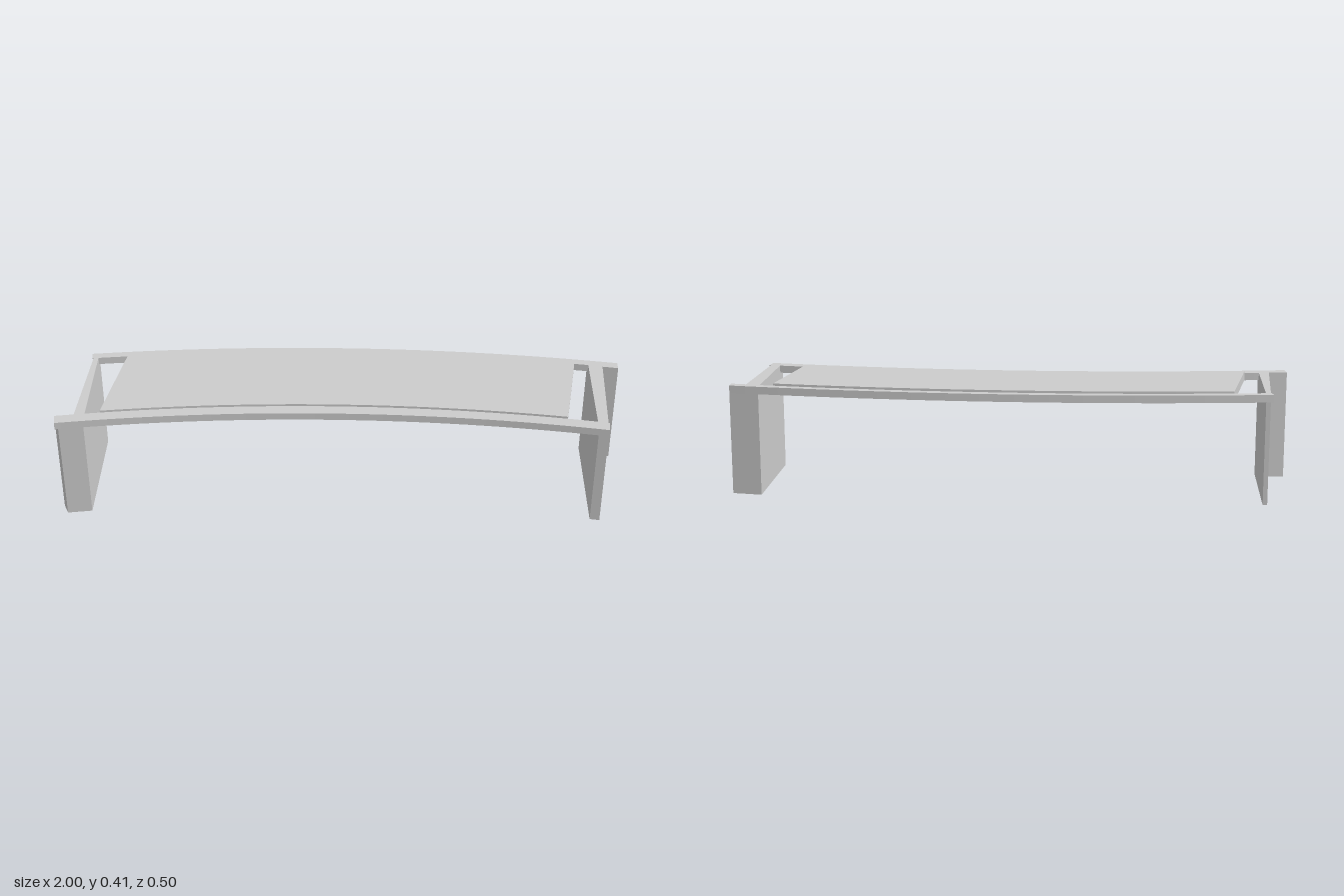
import * as THREE from 'three';

const material = new THREE.MeshStandardMaterial({ color: 0xcccccc });
const STEPS = 32;

// Plan-view arcs (z as a function of x)
const frontOuter = x => 0.17 + 0.085 * (x + 0.035) ** 2;
const frontInner = x => frontOuter(x) - 0.044;
const backOuter = x => -0.25 + 0.0735 * (x + 0.036) ** 2;
const backInner = x => backOuter(x) + 0.03;

// Points along an arc between two x positions
function arc(f, x0, x1) {
  return Array.from({ length: STEPS + 1 }, (_, i) => {
    const x = x0 + (x1 - x0) * i / STEPS;
    return [x, f(x)];
  });
}

// Upright prism from an [x, z] outline
function prism(name, outline, bottom, top) {
  const shape = new THREE.Shape(outline.map(([x, z]) => new THREE.Vector2(x, -z)));
  const geometry = new THREE.ExtrudeGeometry(shape, { depth: top - bottom, bevelEnabled: false });
  geometry.rotateX(-Math.PI / 2);
  geometry.translate(0, bottom, 0);
  const mesh = new THREE.Mesh(geometry, material);
  mesh.name = name;
  return mesh;
}

export function createModel() {
  const group = new THREE.Group();
  group.name = 'curvedBench';

  // Curved rails, with ends cut square to the arc
  group.add(prism('frontRail',
    [...arc(frontOuter, -0.994, 0.928), ...arc(frontInner, 0.934, -1)], 0.37, 0.397));
  group.add(prism('backRail',
    [...arc(backInner, -0.917, 0.997), ...arc(backOuter, 1, -0.922)], 0.37, 0.397));

  // Raised top between the rails, with slanted ends
  group.add(prism('topPanel',
    [...arc(frontInner, -0.843, 0.79), ...arc(backInner, 0.843, -0.787)], 0.37, 0.405));

  // L-shaped legs: one flange turned out at the front, the other at the back
  group.add(prism('rightLeg', [
    [-0.896, -0.193], [-0.896, frontOuter(-0.896)], [-0.982, frontOuter(-0.982)],
    [-1, 0.205], [-0.933, 0.195], [-0.912, -0.193],
  ], 0, 0.397));
  group.add(prism('leftLeg', [
    [0.893, frontOuter(0.893)], [0.927, frontOuter(0.927)], [0.944, -0.147],
    [1, -0.138], [1, backOuter(1)], [0.893, backOuter(0.893)],
  ], 0, 0.397));

  return group;
}
